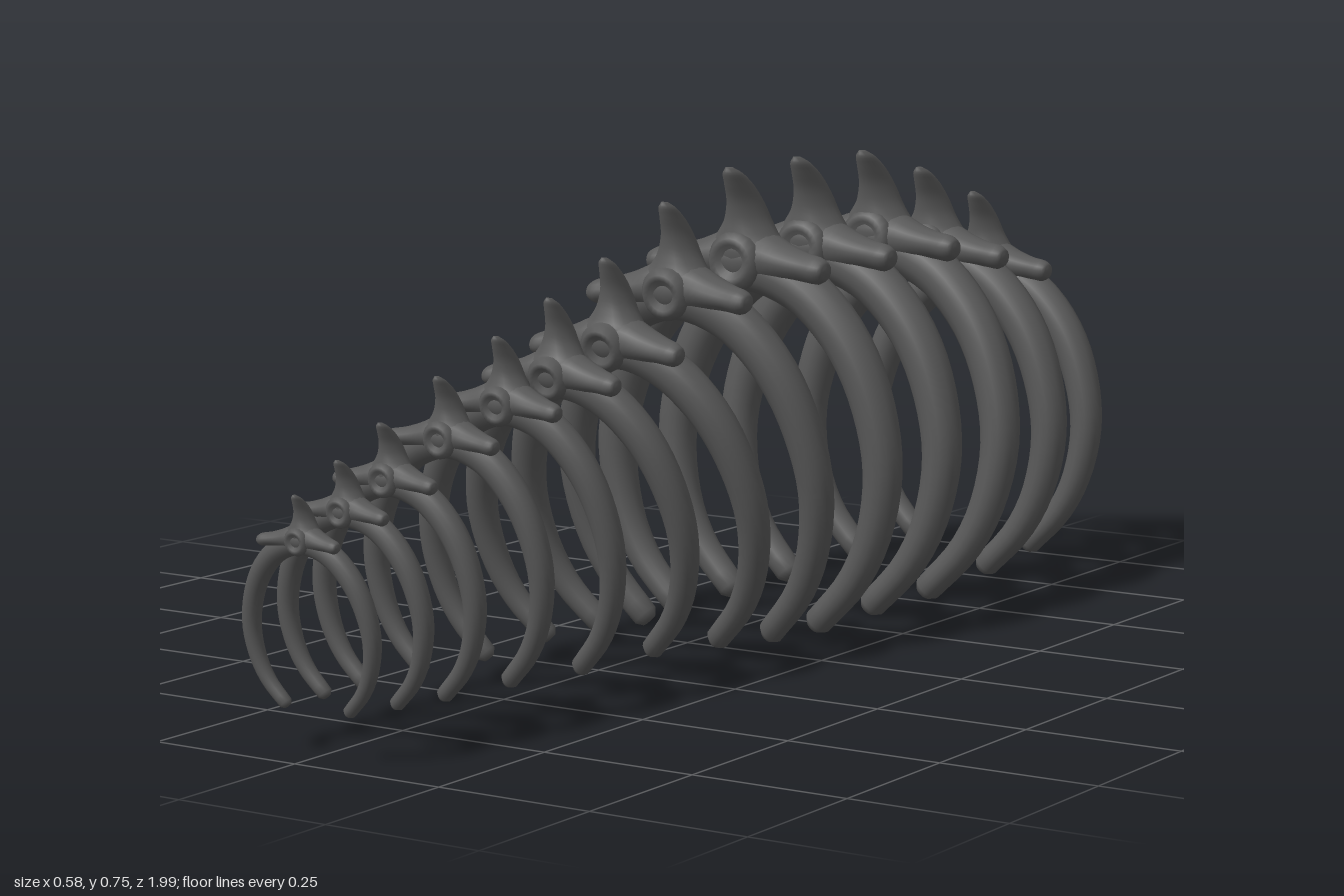
import * as THREE from 'three';

const bone = new THREE.MeshStandardMaterial({ color: 0x585858 });
bone.name = 'dark bone';

// Closed skin over elliptical rings; each ring is { c, u, v } with u x v pointing along the path
function loft(rings, sides = 16) {
  const pos = [], idx = [], n = rings.length;
  for (const { c, u, v } of rings) {
    for (let j = 0; j < sides; j++) {
      const a = (j / sides) * Math.PI * 2;
      const p = c.clone().addScaledVector(u, Math.cos(a)).addScaledVector(v, Math.sin(a));
      pos.push(p.x, p.y, p.z);
    }
  }
  for (let i = 0; i < n - 1; i++) {
    for (let j = 0; j < sides; j++) {
      const k = (j + 1) % sides;
      const a = i * sides + j, b = i * sides + k, d = a + sides, e = b + sides;
      idx.push(a, b, d, b, e, d);
    }
  }
  // End caps
  const first = rings[0].c, last = rings[n - 1].c;
  pos.push(first.x, first.y, first.z, last.x, last.y, last.z);
  const f = n * sides, l = f + 1, o = (n - 1) * sides;
  for (let j = 0; j < sides; j++) {
    const k = (j + 1) % sides;
    idx.push(f, k, j, l, o + j, o + k);
  }
  const g = new THREE.BufferGeometry();
  g.setAttribute('position', new THREE.Float32BufferAttribute(pos, 3));
  g.setIndex(idx);
  g.computeVertexNormals();
  return g;
}

const V = (x, y, z = 0) => new THREE.Vector3(x, y, z);

// Smooth a table of section rows with a spline through each column
function smoothRows(rows, steps) {
  const a = new THREE.CatmullRomCurve3(rows.map(r => V(r[0], r[1], r[2])));
  const b = new THREE.CatmullRomCurve3(rows.map(r => V(r[3], r[4], 0)));
  return Array.from({ length: steps + 1 }, (_, i) => {
    const p = a.getPoint(i / steps), q = b.getPoint(i / steps);
    return [p.x, p.y, p.z, Math.max(q.x, 0.002), Math.max(q.y, 0.002)];
  });
}

// Pair of ribs as one tapering arch, open at the bottom
function ribGeometry() {
  const half = [[0, -0.012], [0.1, -0.04], [0.175, -0.105], [0.225, -0.19], [0.253, -0.31],
    [0.238, -0.42], [0.2, -0.5], [0.135, -0.572]];
  const pts = [...half.slice(1).reverse().map(([x, y]) => V(-x, y)), ...half.map(([x, y]) => V(x, y))];
  const curve = new THREE.CatmullRomCurve3(pts, false, 'centripetal');
  const rings = [], steps = 56;
  for (let i = 0; i <= steps; i++) {
    const c = curve.getPointAt(i / steps), t = curve.getTangentAt(i / steps);
    const r = THREE.MathUtils.lerp(0.042, 0.024, Math.pow(-c.y / 0.572, 1.3));
    rings.push({ c, u: V(-t.y, t.x).multiplyScalar(r * 0.95), v: V(0, 0, r) });
  }
  // Rounded tips
  const tip = (ring, dir) => ({
    c: ring.c.clone().addScaledVector(V(ring.u.y, -ring.u.x), 0.5 * dir),
    u: ring.u.clone().multiplyScalar(0.6), v: ring.v.clone().multiplyScalar(0.6),
  });
  return loft([tip(rings[0], -1), ...rings, tip(rings[steps], 1)]);
}

// Side processes: x, y, z, half height, half depth
function wingGeometry() {
  const half = [[0, 0, 0, 0.05, 0.05], [0.04, 0.004, 0.002, 0.042, 0.047], [0.08, 0, 0.01, 0.03, 0.04],
    [0.12, -0.004, 0.02, 0.023, 0.032], [0.15, -0.007, 0.028, 0.022, 0.026], [0.164, -0.007, 0.031, 0.015, 0.018],
    [0.168, -0.007, 0.032, 0.004, 0.005]];
  const rows = [...half.slice(1).reverse().map(([x, ...r]) => [-x, ...r]), ...half];
  return loft(smoothRows(rows, 36).map(([x, y, z, h, d]) => ({ c: V(x, y, z), u: V(0, h, 0), v: V(0, 0, d) })));
}

// Upright spine, hooked forward: x, y, z, half width, half depth
function spineGeometry() {
  const rows = [[0, -0.02, 0.002, 0.09, 0.042], [0, 0.012, 0.002, 0.085, 0.048], [0, 0.035, 0, 0.057, 0.047],
    [0, 0.065, 0.001, 0.036, 0.043], [0, 0.095, 0.01, 0.025, 0.038], [0, 0.122, 0.028, 0.019, 0.031],
    [0, 0.142, 0.047, 0.014, 0.02], [0, 0.152, 0.057, 0.005, 0.007]];
  return loft(smoothRows(rows, 24).map(([x, y, z, w, d]) => ({ c: V(x, y, z), u: V(0, 0, d), v: V(w, 0, 0) })));
}

// Round vertebra core with dished ends, axis along z
function coreGeometry() {
  const profile = [[0, -0.037], [0.015, -0.038], [0.027, -0.046], [0.036, -0.048], [0.047, -0.04], [0.046, 0],
    [0.048, 0.044], [0.038, 0.056], [0.028, 0.055], [0.015, 0.045], [0, 0.043]];
  return new THREE.LatheGeometry(profile.map(([x, y]) => new THREE.Vector2(x, y)), 20).rotateX(Math.PI / 2);
}

// Each segment, front to back: z, y, width scale, rib height scale, tilt
const segments = [
  [0.973, 0.322, 0.42, 0.43, 0.106], [0.873, 0.349, 0.477, 0.486, 0.09], [0.77, 0.381, 0.533, 0.55, 0.08],
  [0.632, 0.422, 0.59, 0.63, 0.1], [0.487, 0.455, 0.645, 0.71, 0.157], [0.353, 0.483, 0.73, 0.775, 0.24],
  [0.203, 0.515, 0.82, 0.855, 0.25], [0.027, 0.577, 0.89, 0.97, 0.155], [-0.177, 0.604, 1, 1.01, 0],
  [-0.381, 0.604, 1.01, 1.01, -0.064], [-0.588, 0.599, 1.01, 1.01, -0.11], [-0.773, 0.567, 0.94, 0.94, -0.06],
  [-0.954, 0.524, 0.847, 0.85, -0.076],
];

export function createModel() {
  const model = new THREE.Group();
  model.name = 'ribcage';
  const ribs = ribGeometry(), wings = wingGeometry(), spine = spineGeometry(), core = coreGeometry();
  segments.forEach(([z, y, w, h, tilt], i) => {
    const segment = new THREE.Group();
    segment.name = `segment${i + 1}`;
    segment.position.set(0, y, z);
    const add = (name, geometry, sy, angle) => {
      const mesh = new THREE.Mesh(geometry, bone);
      mesh.name = name;
      mesh.scale.set(w, sy, w);
      mesh.rotation.x = angle;
      segment.add(mesh);
    };
    add('ribPair', ribs, h, tilt);
    add('sideProcesses', wings, w, tilt);
    add('vertebraCore', core, w, tilt);
    add('spinousProcess', spine, w, tilt > 0 ? -tilt * 0.6 : 0);
    model.add(segment);
  });
  return model;
}
